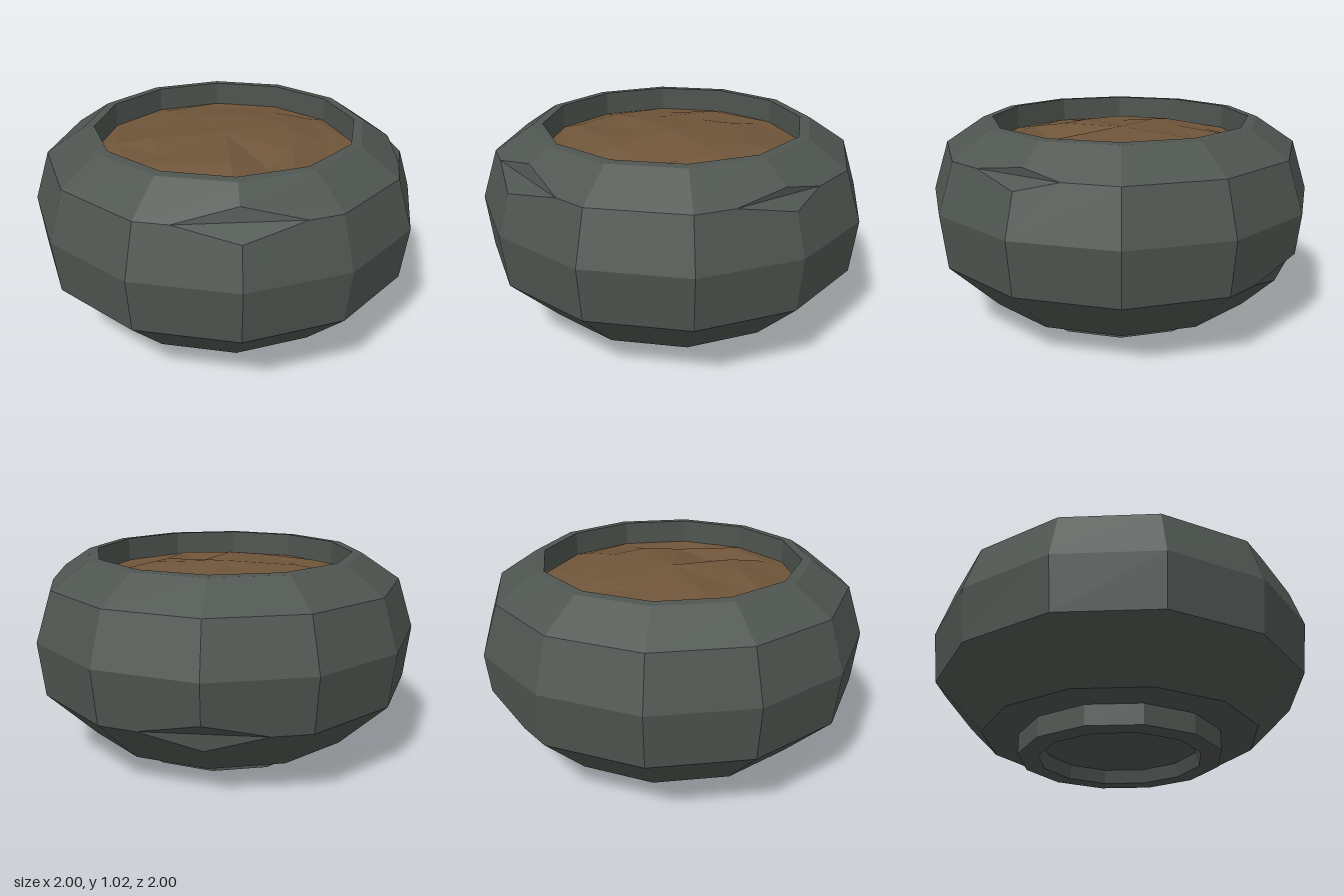
import * as THREE from 'three';

const SIDES = 12;

// Point on a twelve-sided ring; segment 0 faces +z, segment 3 faces +x
function ringPoint([r, y], seg) {
  const a = (seg / SIDES) * Math.PI * 2;
  return new THREE.Vector3(r * Math.sin(a), y, r * Math.cos(a));
}

// Faceted surface through rings of points. Each chip knocks off one ring corner:
// up / down / left / right say how far along each edge the break runs.
function facetedRings(point, rings, chips = []) {
  const positions = [];
  const tri = (a, b, c) => {
    const area = b.clone().sub(a).cross(c.clone().sub(a)).length();
    if (area > 1e-9) [a, b, c].forEach((p) => positions.push(p.x, p.y, p.z));
  };
  const broken = (chip, di, dj) => {
    const t = di > 0 ? chip.up : di < 0 ? chip.down : dj > 0 ? chip.right : chip.left;
    return point(chip.ring, chip.seg).lerp(point(chip.ring + di, chip.seg + dj), t);
  };

  for (let i = 0; i < rings - 1; i++) {
    for (let j = 0; j < SIDES; j++) {
      const corners = [[i, j], [i, j + 1], [i + 1, j + 1], [i + 1, j]];
      const polygon = [];
      corners.forEach(([ci, cj], k) => {
        const chip = chips.find((c) => c.ring === ci && c.seg === cj % SIDES);
        if (!chip) {
          polygon.push(point(ci, cj));
          return;
        }
        for (const n of [corners[(k + 3) % 4], corners[(k + 1) % 4]]) {
          polygon.push(broken(chip, n[0] - ci, n[1] - cj));
        }
      });
      for (let k = 1; k < polygon.length - 1; k++) tri(polygon[0], polygon[k], polygon[k + 1]);
    }
  }

  // Each break is a notch folded along its level middle line
  for (const chip of chips) {
    const left = broken(chip, 0, -1);
    const right = broken(chip, 0, 1);
    tri(broken(chip, 1, 0), left, right);
    tri(left, broken(chip, -1, 0), right);
  }

  const geometry = new THREE.BufferGeometry();
  geometry.setAttribute('position', new THREE.Float32BufferAttribute(positions, 3));
  geometry.computeVertexNormals();
  return geometry;
}

function seeded(seed) {
  return () => {
    seed = (seed * 16807) % 2147483647;
    return seed / 2147483647;
  };
}

export function createModel() {
  const stone = new THREE.MeshStandardMaterial({ color: 0x4f5551, flatShading: true });
  stone.name = 'dark stone';
  const earth = new THREE.MeshStandardMaterial({ color: 0x6f553a, flatShading: true });
  earth.name = 'brown earth';

  const group = new THREE.Group();
  group.name = 'plantBowl';
  const add = (name, geometry, material) => {
    const mesh = new THREE.Mesh(geometry, material);
    mesh.name = name;
    group.add(mesh);
  };

  // Foot ring with a recessed underside
  const foot = [[0, 0.08], [0.405, 0.08], [0.425, 0.008], [0.53, 0.01], [0.53, 0.115]];
  add('foot', facetedRings((i, j) => ringPoint(foot[i], j), foot.length), stone);

  // Bowl: underside, bulging wall, narrow rim and upright inner wall
  const bowl = [
    [0.5, 0.115], [0.72, 0.115], [0.97, 0.365], [1, 0.64],
    [0.918, 0.895], [0.72, 1.027], [0.67, 1.03], [0.67, 0.87],
  ];
  const chips = [
    { ring: 4, seg: 0, up: 0.5, down: 0.22, left: 0.65, right: 0.65 },
    { ring: 4, seg: 3, up: 0.3, down: 0.2, left: 0.59, right: 0.44 },
    { ring: 2, seg: 6, up: 0.27, down: 0.34, left: 0.62, right: 0.62 },
  ];
  add('bowl', facetedRings((i, j) => ringPoint(bowl[i], j), bowl.length, chips), stone);

  // Lumpy, gently mounded soil: inner rings are nudged, the edge and centre stay put
  const soil = [[0.67, 0.905], [0.56, 0.92], [0.37, 0.95], [0, 0.975]];
  const random = seeded(41);
  const lumps = soil.map(([r, y], i) => Array.from({ length: SIDES }, (_, j) => {
    const loose = i === 1 || i === 2 ? 1 : 0;
    const dr = (random() - 0.5) * 0.05 * loose;
    const dy = (random() - 0.5) * 0.025 * loose;
    return ringPoint([r + dr, y + dy], j);
  }));
  // Small furrow near the front left edge
  lumps[2][1].y -= 0.05;
  lumps[1][2].y -= 0.03;
  add('soil', facetedRings((i, j) => lumps[i][j % SIDES].clone(), soil.length), earth);

  return group;
}
